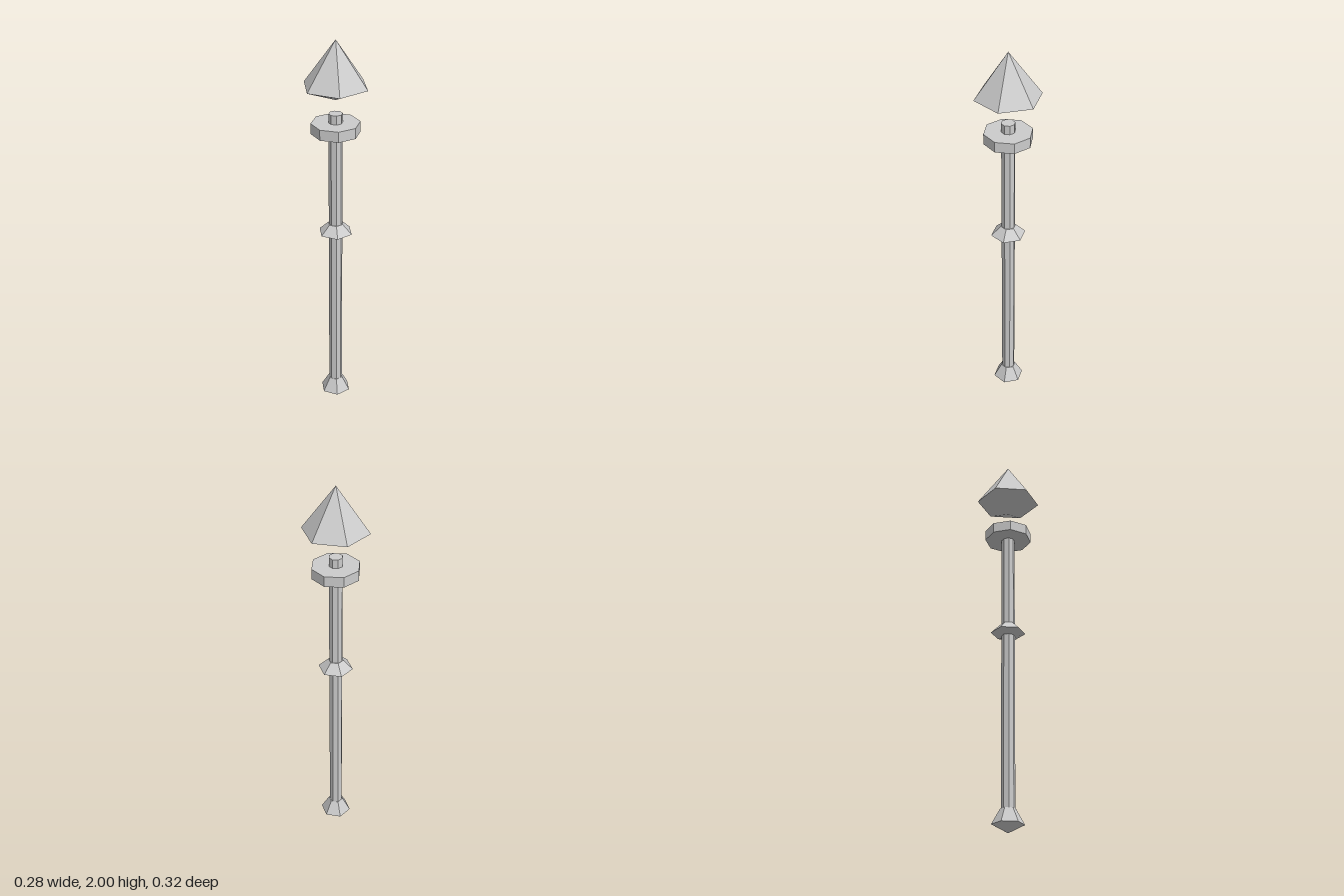
import * as THREE from 'three';

export function createModel() {
  const group = new THREE.Group();
  const material = new THREE.MeshStandardMaterial({ color: 0xcccccc, flatShading: true });

  // Faceted solid turned from [radius, height] points, listed bottom to top
  function turned(name, sides, profile) {
    const points = profile.map(([r, y]) => new THREE.Vector2(r, y));
    const mesh = new THREE.Mesh(new THREE.LatheGeometry(points, sides), material);
    mesh.name = name;
    group.add(mesh);
  }

  // Shaft and its octagonal collar
  turned('shaft', 8, [[0, 0.06], [0.034, 0.06], [0.034, 1.642], [0, 1.642]]);
  turned('collar', 8, [[0, 1.544], [0.119, 1.544], [0.119, 1.597], [0, 1.597]]);

  // Six-sided pommel, grip ring and floating crystal
  turned('pommel', 6, [[0, 0], [0.079, 0.04], [0.038, 0.113], [0, 0.113]]);
  turned('gripRing', 6, [[0, 0.993], [0.038, 0.993], [0.087, 1.01], [0.038, 1.057], [0, 1.057]]);
  turned('floatingCrystal', 6, [[0, 1.709], [0.162, 1.777], [0, 2]]);

  return group;
}
